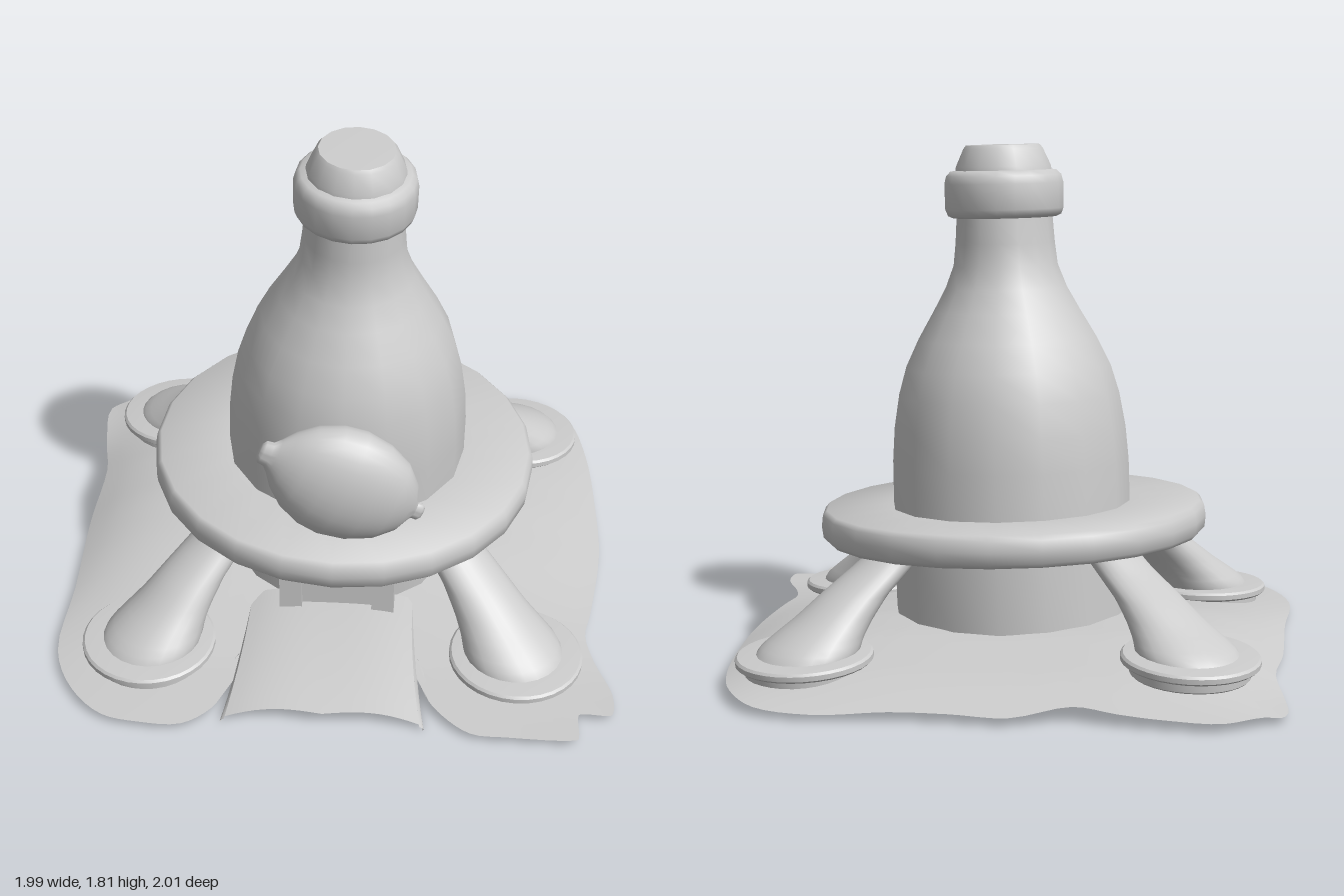
import * as THREE from 'three';
import { mergeVertices, toCreasedNormals } from 'three/addons/utils/BufferGeometryUtils.js';

const material = new THREE.MeshStandardMaterial({ color: 0xcccccc });
const sheetMaterial = new THREE.MeshStandardMaterial({ color: 0xcccccc, side: THREE.DoubleSide });

function part(name, geometry, mat = material) {
  const mesh = new THREE.Mesh(geometry, mat);
  mesh.name = name;
  return mesh;
}

// Surface from a function of (row, column), both running 0..1
function surface(rows, cols, at) {
  const positions = [], index = [];
  for (let i = 0; i <= rows; i++)
    for (let j = 0; j <= cols; j++) positions.push(...at(i / rows, j / cols));
  for (let i = 0; i < rows; i++)
    for (let j = 0; j < cols; j++) {
      const a = i * (cols + 1) + j, b = a + cols + 1;
      index.push(a, b, b + 1, a, b + 1, a + 1);
    }
  const geometry = new THREE.BufferGeometry();
  geometry.setAttribute('position', new THREE.Float32BufferAttribute(positions, 3));
  geometry.setIndex(index);
  const merged = mergeVertices(geometry, 1e-5);
  merged.computeVertexNormals();
  return merged;
}

function lathe(points, segments, crease = 0.6) {
  const geometry = new THREE.LatheGeometry(points.map(p => new THREE.Vector2(...p)), segments);
  return toCreasedNormals(geometry, crease);
}

// Linear lookup in a short list of rows [key, value, value...]
function lookup(table, key) {
  let i = 0;
  while (i < table.length - 2 && key > table[i + 1][0]) i++;
  const [a, b] = [table[i], table[i + 1]];
  const t = THREE.MathUtils.clamp((key - a[0]) / (b[0] - a[0]), 0, 1);
  return a.map((v, k) => v + (b[k] - v) * t);
}

const groundOutline = [
  [-0.33, 0.66], [0, 0.66], [0.31, 0.66], [0.34, 0.82], [0.4, 0.91], [0.5, 0.99], [0.62, 1], [0.86, 1],
  [0.87, 0.99], [0.87, 0.88], [0.88, 0.87], [0.98, 0.87], [0.99, 0.86], [0.99, 0.76], [0.93, 0.6],
  [0.9, 0.47], [0.92, 0.35], [0.96, 0], [0.95, -0.3], [0.92, -0.6], [0.86, -0.82], [0.75, -0.96],
  [0.55, -1], [0.3, -0.97], [0.1, -0.97], [-0.1, -0.98], [-0.3, -0.91], [-0.45, -0.94], [-0.6, -0.96],
  [-0.8, -0.96], [-0.92, -0.88], [-0.99, -0.83], [-0.98, -0.6], [-0.95, -0.4], [-0.97, -0.1],
  [-0.97, 0.3], [-0.98, 0.65], [-0.9, 0.85], [-0.78, 0.97], [-0.65, 1], [-0.5, 1], [-0.4, 0.92], [-0.36, 0.82],
];
const hillProfile = [[-1, 0], [-0.88, 0.28], [-0.75, 0.55], [-0.4, 0.93], [-0.15, 1], [0.1, 0.85], [0.4, 0.45],
  [0.7, 0.12], [1, 0]];

function groundHeight(x, z) {
  const hill = lookup(hillProfile, z)[1] * Math.max(0, 1 - (x / 0.97) ** 4);
  return 0.022 + 0.142 * hill * (1 - 0.18 * x);
}

function buildGround() {
  const curve = new THREE.CatmullRomCurve3(
    groundOutline.map(([x, z]) => new THREE.Vector3(x, 0, z)), true, 'centripetal');
  const count = groundOutline.length * 4;
  const rim = curve.getPoints(count);
  return part('ground', surface(16, count, (u, v) => {
    const p = rim[Math.round(v * count)];
    return [p.x * u, groundHeight(p.x * u, p.z * u), p.z * u];
  }), sheetMaterial);
}

// Arched path sloping down to the front, with turned-down sides
function buildPath() {
  const group = new THREE.Group();
  group.name = 'path';
  const halfWidth = z => 0.29 + 0.045 * ((z - 0.36) / 0.58) ** 2;
  const crown = z => 0.115 - 0.065 * ((z - 0.36) / 0.58) ** 2;
  const edge = z => crown(z) - 0.03;
  group.add(part('pathSurface', surface(10, 20, (u, v) => {
    const s = v * 2 - 1;
    const z = 0.36 + u * (0.59 - 0.015 * Math.sin(Math.PI * Math.abs(s)));
    return [s * halfWidth(z) - 0.015, crown(z) - 0.03 * Math.abs(s) ** 3, z];
  }), sheetMaterial));
  for (const side of [-1, 1]) {
    group.add(part('pathEdge', surface(10, 4, (u, v) => {
      const z = 0.42 + u * 0.54;
      return [side * (halfWidth(z) + 0.015 * Math.sin(v * Math.PI * 0.7)) - 0.015, edge(z) * (1 - v), z];
    }), sheetMaterial));
  }
  return group;
}

// Rows: height fraction, distance inwards from the foot, radius
const legProfile = [[0, 0, 0.175], [0.1, 0.025, 0.172], [0.2, 0.06, 0.155], [0.35, 0.125, 0.133],
  [0.55, 0.21, 0.115], [0.8, 0.34, 0.1], [1, 0.43, 0.095]];

function buildLeg(x, y, z, tiltX, tiltZ) {
  const group = new THREE.Group();
  group.name = 'leg';
  const reach = Math.hypot(x, z);
  group.add(part('legColumn', surface(18, 24, (u, v) => {
    const t = 1 - u, [, inward, radius] = lookup(legProfile, t);
    const angle = v * Math.PI * 2, k = 1 - inward / reach;
    return [x * k + radius * Math.cos(angle), y + t * (0.46 - y), z * k - radius * Math.sin(angle)];
  })));
  // Two-step round foot
  const foot = part('foot', lathe([[0, -0.05], [0.2, -0.05], [0.205, -0.045], [0.205, -0.015], [0.228, -0.012],
    [0.236, -0.005], [0.236, 0.012], [0.228, 0.02], [0.17, 0.025], [0, 0.025]], 32));
  foot.position.set(x, y, z);
  foot.rotation.set(tiltX, 0, tiltZ);
  group.add(foot);
  return group;
}

function buildBottle() {
  const group = new THREE.Group();
  group.name = 'bottle';
  group.add(part('bottleBody', lathe([[0, 0.025], [0.425, 0.025], [0.428, 0.3], [0.426, 0.6], [0.417, 0.72],
    [0.397, 0.84], [0.368, 0.94], [0.32, 1.04], [0.262, 1.14], [0.218, 1.22], [0.187, 1.3], [0.178, 1.38],
    [0.17, 1.5]], 16)));
  group.add(part('collar', lathe([[0.14, 1.47], [0.185, 1.47], [0.203, 1.478], [0.212, 1.5], [0.213, 1.59],
    [0.206, 1.618], [0.19, 1.634], [0.14, 1.64]], 20, 1)));
  group.add(part('stopper', lathe([[0.174, 1.62], [0.17, 1.65], [0.142, 1.712], [0.132, 1.725], [0, 1.728]], 16)));
  group.position.set(0, 0.08, -0.008);
  group.rotation.set(0.061, 0, -0.031);
  return group;
}

// Upright outline with rounded upper corners
function archShape(Type, x0, x1, y0, y1, r) {
  const s = new Type();
  s.moveTo(x0, y0);
  s.lineTo(x1, y0);
  s.lineTo(x1, y1 - r);
  s.quadraticCurveTo(x1, y1, x1 - r, y1);
  s.lineTo(x0 + r, y1);
  s.quadraticCurveTo(x0, y1, x0, y1 - r);
  s.lineTo(x0, y0);
  return s;
}

function buildDoor() {
  const group = new THREE.Group();
  group.name = 'door';
  const frame = archShape(THREE.Shape, -0.2, 0.21, 0.08, 0.39, 0.07);
  frame.holes.push(archShape(THREE.Path, -0.12, 0.13, 0.09, 0.31, 0.025));
  const frameMesh = part('doorFrame', new THREE.ExtrudeGeometry(frame, { depth: 0.16, bevelEnabled: false }));
  const panel = part('doorPanel', new THREE.BoxGeometry(0.27, 0.24, 0.1));
  frameMesh.position.z = 0.3;
  panel.position.set(0.005, 0.205, 0.385);
  group.add(frameMesh, panel);
  return group;
}

// Flattened fruit with a stem nub at one end and a pointed tip at the other
function buildLemon() {
  const lemon = part('lemon', lathe([[0, -0.305], [0.022, -0.305], [0.034, -0.295], [0.034, -0.275], [0.05, -0.265],
    [0.105, -0.24], [0.165, -0.18], [0.205, -0.095], [0.221, 0], [0.21, 0.08], [0.173, 0.16], [0.12, 0.22],
    [0.072, 0.255], [0.05, 0.275], [0.046, 0.3], [0.03, 0.31], [0, 0.31]], 32, 1));
  lemon.scale.z = 0.575;
  lemon.rotation.set(0, 0.05, 1.13);
  lemon.position.set(0.03, 0.735, 0.532);
  return lemon;
}

export function createModel() {
  const model = new THREE.Group();
  model.name = 'bottleHouse';
  model.add(buildGround(), buildPath(), buildBottle(), buildDoor(), buildLemon());

  // Tilted platform around the bottle
  const ring = part('platformRing', lathe([[0.4, -0.056], [0.67, -0.056], [0.685, -0.04], [0.69, 0], [0.685, 0.04],
    [0.67, 0.056], [0.4, 0.056], [0.4, -0.056]], 24, 0.9));
  ring.position.set(0.005, 0.473, 0.018);
  ring.rotation.set(0.035, 0, -0.033);
  model.add(ring);

  model.add(
    buildLeg(-0.65, 0.08, 0.64, 0.03, 0.01),
    buildLeg(0.65, 0.06, 0.62, 0.03, -0.03),
    buildLeg(-0.67, 0.15, -0.64, -0.06, 0.04),
    buildLeg(0.64, 0.11, -0.64, -0.06, -0.04),
  );
  return model;
}
